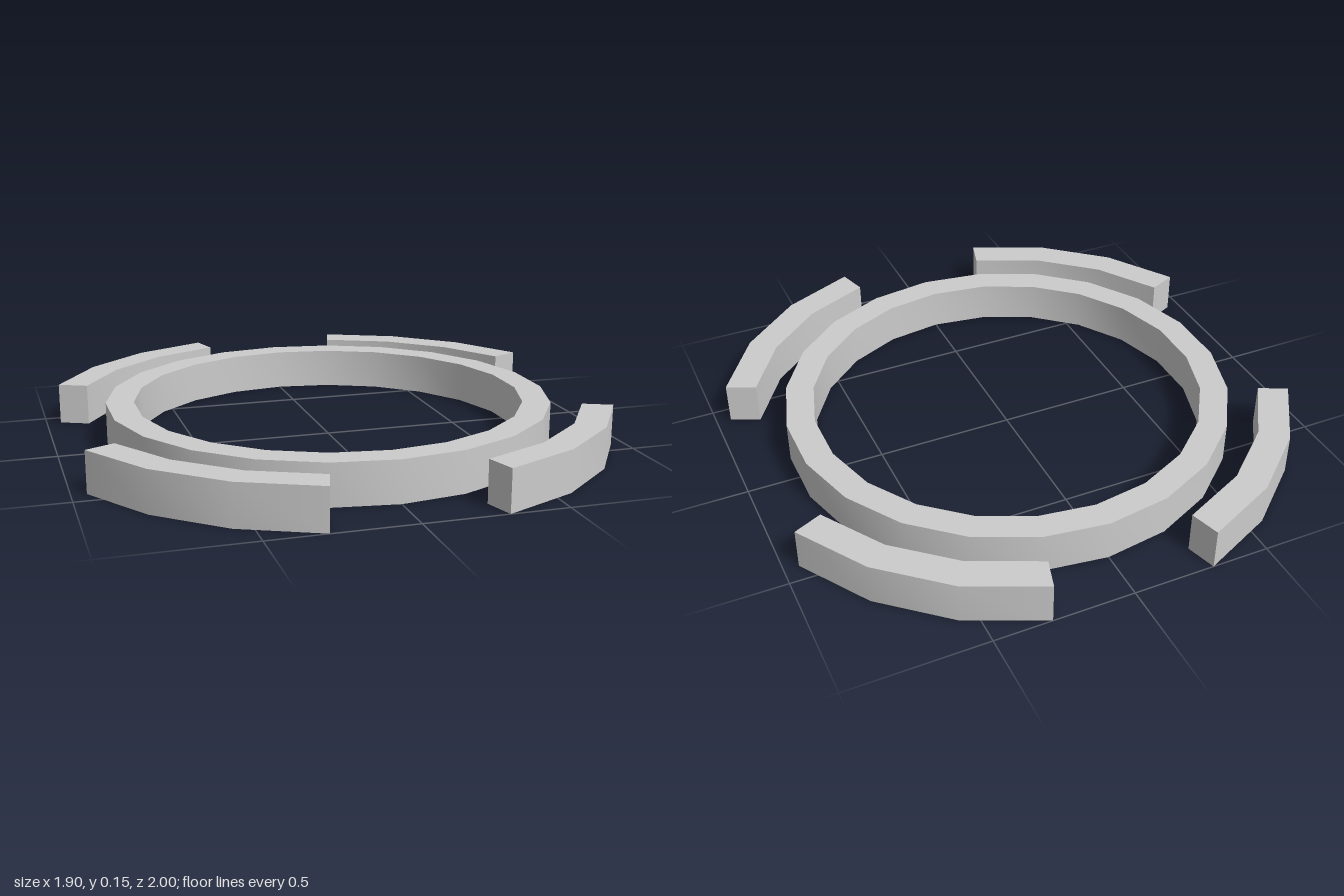
import * as THREE from 'three';
import { toCreasedNormals } from 'three/addons/utils/BufferGeometryUtils.js';

const SIDES = 22;
const HEIGHT = 0.15;
const STEP = (Math.PI * 2) / SIDES;

// Points on a circle, counted in steps from the +y axis of the shape
function arcPoints(radius, from, to) {
  const points = [];
  for (let i = from; i <= to; i++) {
    points.push(new THREE.Vector2(Math.sin(i * STEP) * radius, Math.cos(i * STEP) * radius));
  }
  return points;
}

// Extrude a plan shape upwards, smooth round the curve and sharp at the rims
function raise(shape) {
  const geometry = new THREE.ExtrudeGeometry(shape, { depth: HEIGHT, bevelEnabled: false });
  geometry.rotateX(-Math.PI / 2);
  return toCreasedNormals(geometry, 0.6);
}

export function createModel() {
  const group = new THREE.Group();
  const material = new THREE.MeshStandardMaterial({ color: 0xcccccc });
  const add = (name, shape) => {
    const mesh = new THREE.Mesh(raise(shape), material);
    mesh.name = name;
    group.add(mesh);
  };

  // Closed centre ring; the hole winds the other way so its wall faces inwards
  const ring = new THREE.Shape(arcPoints(0.818, 0, SIDES - 1));
  ring.holes.push(new THREE.Path(arcPoints(0.716, 0, SIDES - 1).reverse()));
  add('centreRing', ring);

  // Four curved outer segments, three facets each, mirrored about both axes
  const segments = [
    ['backLeftSegment', 1],
    ['frontLeftSegment', 7],
    ['frontRightSegment', 12],
    ['backRightSegment', 18],
  ];
  for (const [name, start] of segments) {
    const outer = arcPoints(1.042, start, start + 3);
    const inner = arcPoints(0.93, start, start + 3).reverse();
    add(name, new THREE.Shape([...outer, ...inner]));
  }

  return group;
}
